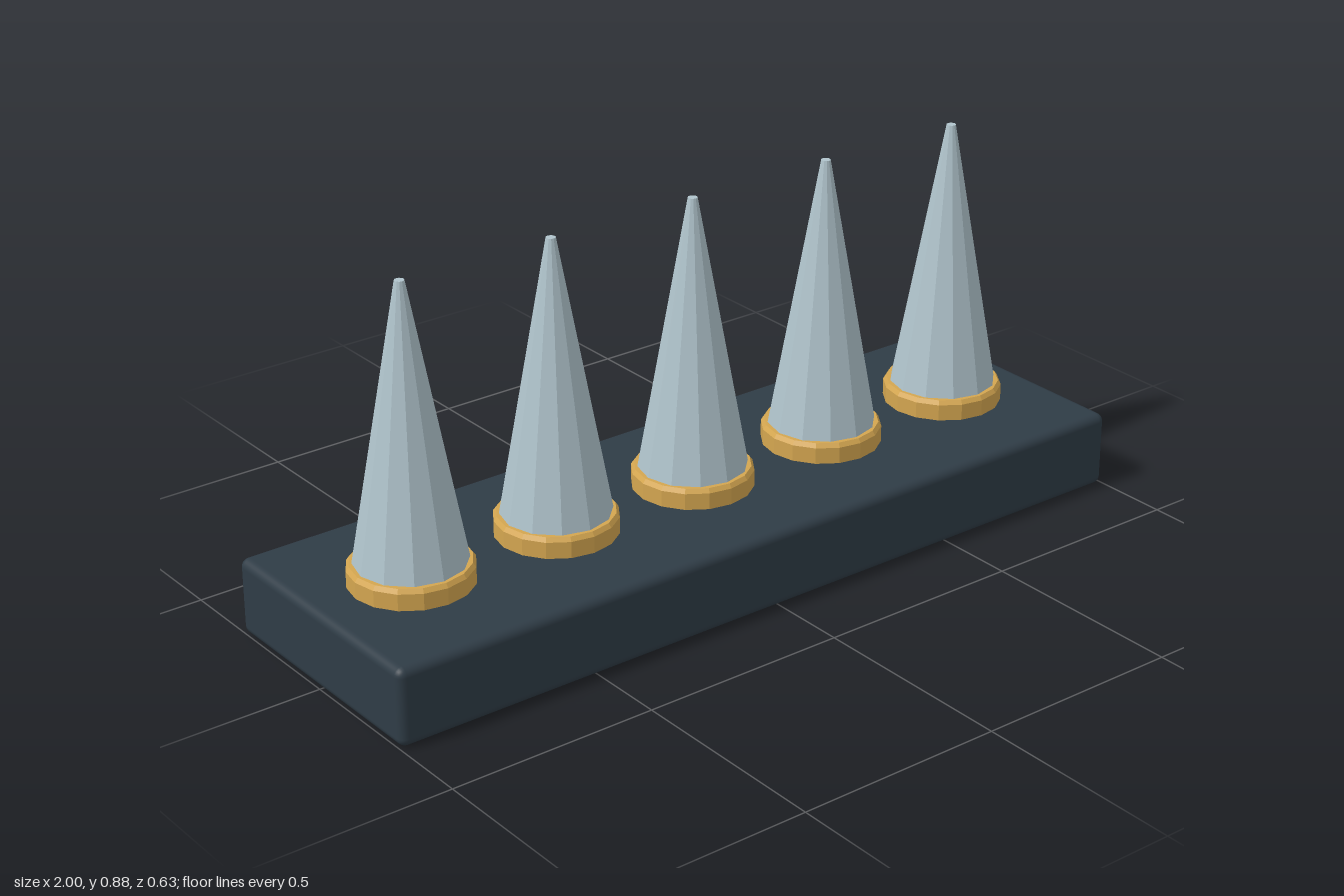
import * as THREE from 'three';
import { RoundedBoxGeometry } from 'three/addons/geometries/RoundedBoxGeometry.js';

const BASE_HEIGHT = 0.183;

export function createModel() {
  const model = new THREE.Group();
  model.name = 'spikeStrip';

  const baseMaterial = new THREE.MeshStandardMaterial({ color: 0x2f3c46 });
  const collarMaterial = new THREE.MeshStandardMaterial({ color: 0xd4a650, flatShading: true });
  const spikeMaterial = new THREE.MeshStandardMaterial({ color: 0xb0c4cc, flatShading: true });

  // Slab with softly rounded edges
  const base = new THREE.Mesh(new RoundedBoxGeometry(2, BASE_HEIGHT, 0.634, 3, 0.02), baseMaterial);
  base.name = 'base';
  base.position.y = BASE_HEIGHT / 2;
  model.add(base);

  // Collar profile: straight wall with a bevelled top rim
  const profile = [[0, -0.01], [0.141, -0.01], [0.141, 0.039], [0.134, 0.049], [0, 0.049]]
    .map(([r, y]) => new THREE.Vector2(r, y));
  const collarGeometry = new THREE.LatheGeometry(profile, 16);

  // Faceted, slightly blunted spike
  const spikeHeight = 0.692;
  const spikeGeometry = new THREE.CylinderGeometry(0.011, 0.135, spikeHeight, 12);
  spikeGeometry.translate(0, spikeHeight / 2, 0);

  // Row of five collared spikes
  for (let i = -2; i <= 2; i++) {
    const unit = new THREE.Group();
    unit.name = `spikeUnit${i + 3}`;
    unit.position.set(i * 0.38, BASE_HEIGHT, 0);

    const collar = new THREE.Mesh(collarGeometry, collarMaterial);
    collar.name = 'collar';
    const spike = new THREE.Mesh(spikeGeometry, spikeMaterial);
    spike.name = 'spike';

    unit.add(collar, spike);
    model.add(unit);
  }
  return model;
}
